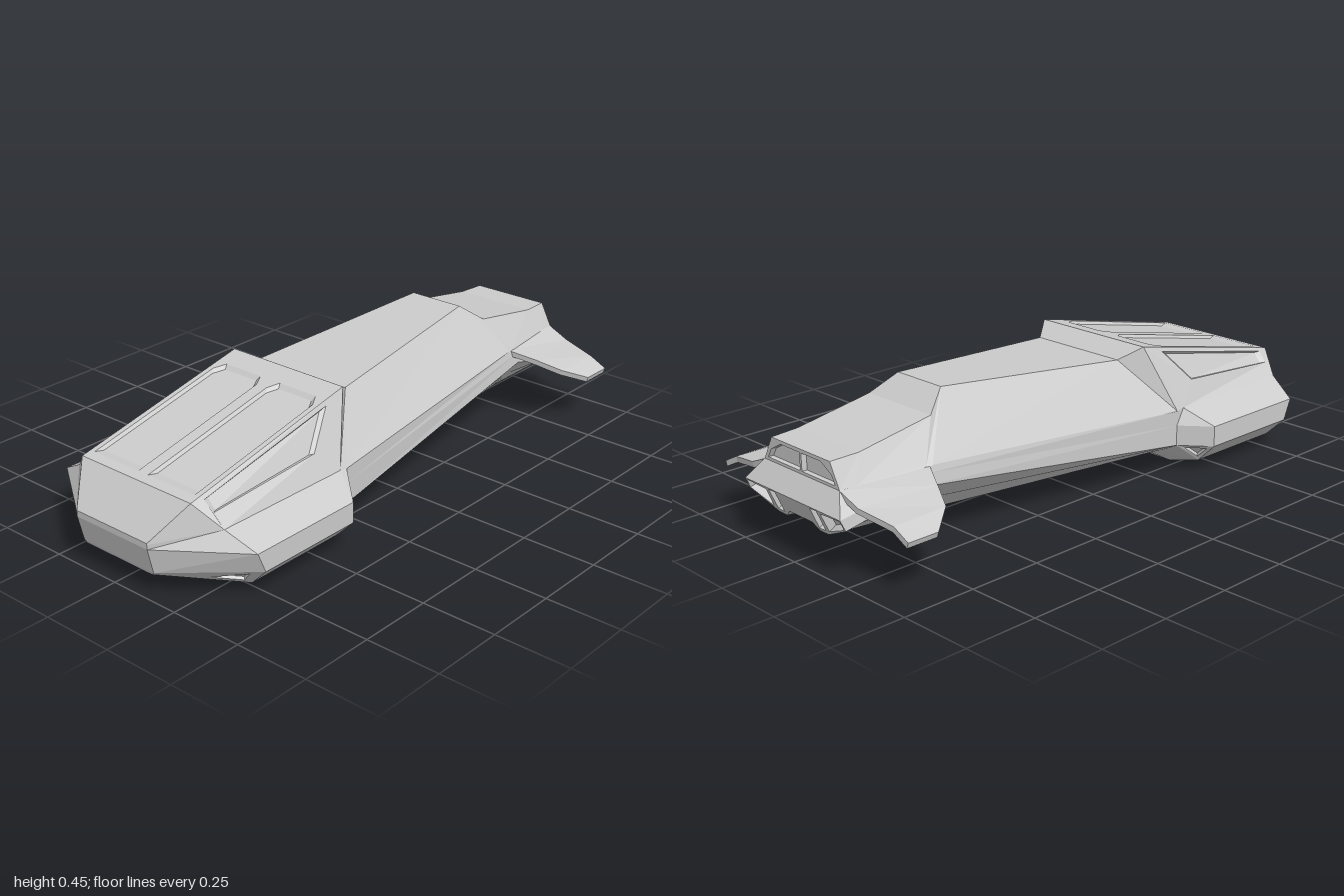
import * as THREE from 'three';

const material = new THREE.MeshStandardMaterial({ color: 0xcccccc, flatShading: true, side: THREE.DoubleSide });
const V = (x, y, z) => new THREE.Vector3(x, y, z);
const mirror = p => V(p.x, p.y, -p.z);
const flipU = holes => holes.map(h => h.map(([u, v]) => [1 - u, v]).reverse());
const flipV = holes => holes.map(h => h.map(([u, v]) => [u, 1 - v]).reverse());

// Collects triangles for one part
class Plating {
  constructor() { this.points = []; }
  tri(a, b, c) { this.points.push(a, b, c); }
  quad(a, b, c, d) { this.tri(a, b, c); this.tri(a, c, d); }

  // Quad (counter-clockwise from bottom left) with bevelled recesses given in its own 0..1 coordinates
  recessed([bl, br, tr, tl], holes, depth = 0.01, shrink = 0.92) {
    const n = br.clone().sub(tl).cross(tr.clone().sub(bl)).normalize();
    const at = p => bl.clone().lerp(br, p.x).lerp(tl.clone().lerp(tr, p.x), p.y);
    const border = [[0, 0], [1, 0], [1, 1], [0, 1]].map(p => new THREE.Vector2(...p));
    const cuts = holes.map(h => h.map(p => new THREE.Vector2(...p)));
    const all = [border, ...cuts].flat();
    for (const t of THREE.ShapeUtils.triangulateShape(border, cuts)) this.tri(...t.map(i => at(all[i])));
    for (const cut of cuts) {
      const mid = cut.reduce((s, p) => s.add(p), new THREE.Vector2()).divideScalar(cut.length);
      const floor = cut.map(p => at(mid.clone().lerp(p, shrink)).addScaledVector(n, -depth));
      const rim = cut.map(at);
      rim.forEach((p, i) => {
        const j = (i + 1) % rim.length;
        this.quad(p, rim[j], floor[j], floor[i]);
      });
      for (const t of THREE.ShapeUtils.triangulateShape(cut, [])) this.tri(...t.map(i => floor[i]));
    }
  }

  // Skin between closed cross-sections; recesses are keyed "section,side"
  loft(rings, recesses = {}) {
    for (let i = 0; i < rings.length - 1; i++) {
      const a = rings[i], b = rings[i + 1], n = a.length;
      for (let j = 0; j < n; j++) {
        const k = (j + 1) % n;
        const quad = [a[k], b[k], b[j], a[j]];
        const own = recesses[`${i},${j}`], other = recesses[`${i},${n - 2 - j}`];
        if (own) this.recessed(quad, own);
        else if (other) this.recessed(quad, flipV(other));
        else this.quad(...quad);
      }
    }
  }

  mesh(name) {
    const g = new THREE.BufferGeometry().setFromPoints(this.points);
    g.computeVertexNormals();
    const m = new THREE.Mesh(g, material);
    m.name = name;
    return m;
  }
}

// Half section: roof edge, waist, shoulder, flank, bilge, keel, channel edge, channel roof
const section = (...half) => {
  const pts = half.map(p => V(...p));
  return [...pts, ...pts.map(mirror).reverse()];
};

const tail = section([-1, .185, .15], [-1, .18, .15], [-1, .165, .15], [-.98, .08, .15],
  [-.977, .07, .14], [-.975, .068, .13], [-.975, .068, .085], [-.975, .068, .05]);
const blockRear = section([-.9, .30, .23], [-.85, .225, .31], [-.82, .17, .41], [-.79, .10, .41],
  [-.78, .035, .345], [-.78, 0, .22], [-.78, 0, .085], [-.78, 0, .05]);
const blockFront = section([-.25, .44, .23], [-.36, .225, .315], [-.41, .17, .41], [-.41, .10, .41],
  [-.41, .035, .345], [-.41, 0, .22], [-.41, 0, .085], [-.41, 0, .05]);
const neckRear = section([-.18, .40, .18], [-.33, .22, .315], [-.33, .17, .315], [-.33, .10, .315],
  [-.33, .072, .26], [-.33, .045, .2], [-.33, .045, .085], [-.33, .09, .05]);
const neckFront = section([.51, .45, .1], [.65, .27, .22], [.68, .25, .222], [.7, .215, .225],
  [.7, .152, .17], [.7, .09, .115], [.7, .09, .085], [.7, .13, .055]);
const headRear = section([.59, .39, .145], [.67, .27, .215], [.7, .245, .222], [.72, .21, .226],
  [.72, .151, .17], [.72, .092, .115], [.72, .092, .085], [.72, .13, .055]);
const headMid = section([.86, .345, .145], [.9, .267, .185], [.9, .215, .23], [.9, .18, .235],
  [.9, .143, .178], [.9, .106, .12], [.9, .106, .08], [.9, .134, .055]);
const headFront = section([.96, .342, .14], [.96, .265, .18], [1, .2, .23], [.985, .165, .235],
  [.9725, .1385, .1775], [.96, .112, .12], [.96, .112, .08], [.97, .135, .055]);

function rearBlock() {
  const p = new Plating();
  const roof = [[.05, .04], [.82, .04], [.88, .09], [.88, .41], [.82, .455], [.05, .455]];
  p.loft([tail, blockRear, blockFront, neckRear], {
    '1,15': [roof, ...flipV([roof])],                           // twin roof panels
    '1,0': [[[.04, .5], [.78, .4], [.88, .92], [.06, .88]]],    // side panel
    '0,3': [[[.55, .3], [.9, .2], [.88, .8]]],                  // rear corner vent
    '2,3': [[[.12, .2], [.7, .75], [.12, .82]]],                // front corner vent
  });
  for (let j = 0; j < 7; j++) p.quad(tail[j], tail[15 - j], tail[14 - j], tail[j + 1]);
  return p.mesh('rearBlock');
}

function neck() {
  const p = new Plating();
  p.loft([neckRear, neckFront]);
  return p.mesh('neck');
}

function head() {
  const p = new Plating();
  p.loft([neckFront, headRear, headMid, headFront]);
  const [A, B, C, D, , E, G, H] = headFront;
  const brow = z => V(1, .2, z);
  // Windscreen and the sloped nose below it
  const pane = [[.04, .12], [.487, .12], [.487, .85], [.17, .85], [.05, .5]];
  p.recessed([B, mirror(B), mirror(A), A], [pane, ...flipU([pane])], 0.014);
  p.quad(C, mirror(C), mirror(B), B);
  // Intakes and slots under the brow
  const both = (q, holes) => {
    p.recessed(q, holes, 0.025, 0.85);
    const [bl, br, tr, tl] = q.map(mirror);
    p.recessed([br, bl, tl, tr], flipU(holes), 0.025, 0.85);
  };
  both([D, E, brow(.12), C], [[[.06, .12], [.88, .12], [.9, .88], [.06, .88]]]);
  both([E, G, brow(.08), brow(.12)], [[[.12, .14], [.88, .14], [.88, .94], [.12, .94]]]);
  both([G, H, brow(.055), brow(.08)], []);
  p.quad(H, mirror(H), brow(-.055), brow(.055));
  return p.mesh('head');
}

// Drooping winglet: each row is rear x, rear y, rear z, front x, front y, front z
function winglet(side) {
  const p = new Plating();
  const rows = [
    [.655, .27, .21, .96, .266, .175],
    [.70, .243, .30, .955, .232, .255],
    [.74, .214, .38, .93, .208, .38],
    [.82, .178, .44, .93, .178, .44],
  ];
  const rings = rows.map(([rx, ry, rz, fx, fy, fz]) => {
    const ring = [V(rx, ry, side * rz), V(fx, fy, side * fz),
      V(fx, fy - .018, side * (fz - .006)), V(rx, ry - .018, side * (rz - .006))];
    return side > 0 ? ring.reverse() : ring;
  });
  p.loft(rings);
  for (const r of [rings[0], rings[3]]) p.quad(...r);
  return p.mesh(side > 0 ? 'frontWinglet' : 'backWinglet');
}

export function createModel() {
  const model = new THREE.Group();
  model.name = 'spacecraft';
  model.add(rearBlock(), neck(), head(), winglet(1), winglet(-1));
  return model;
}
